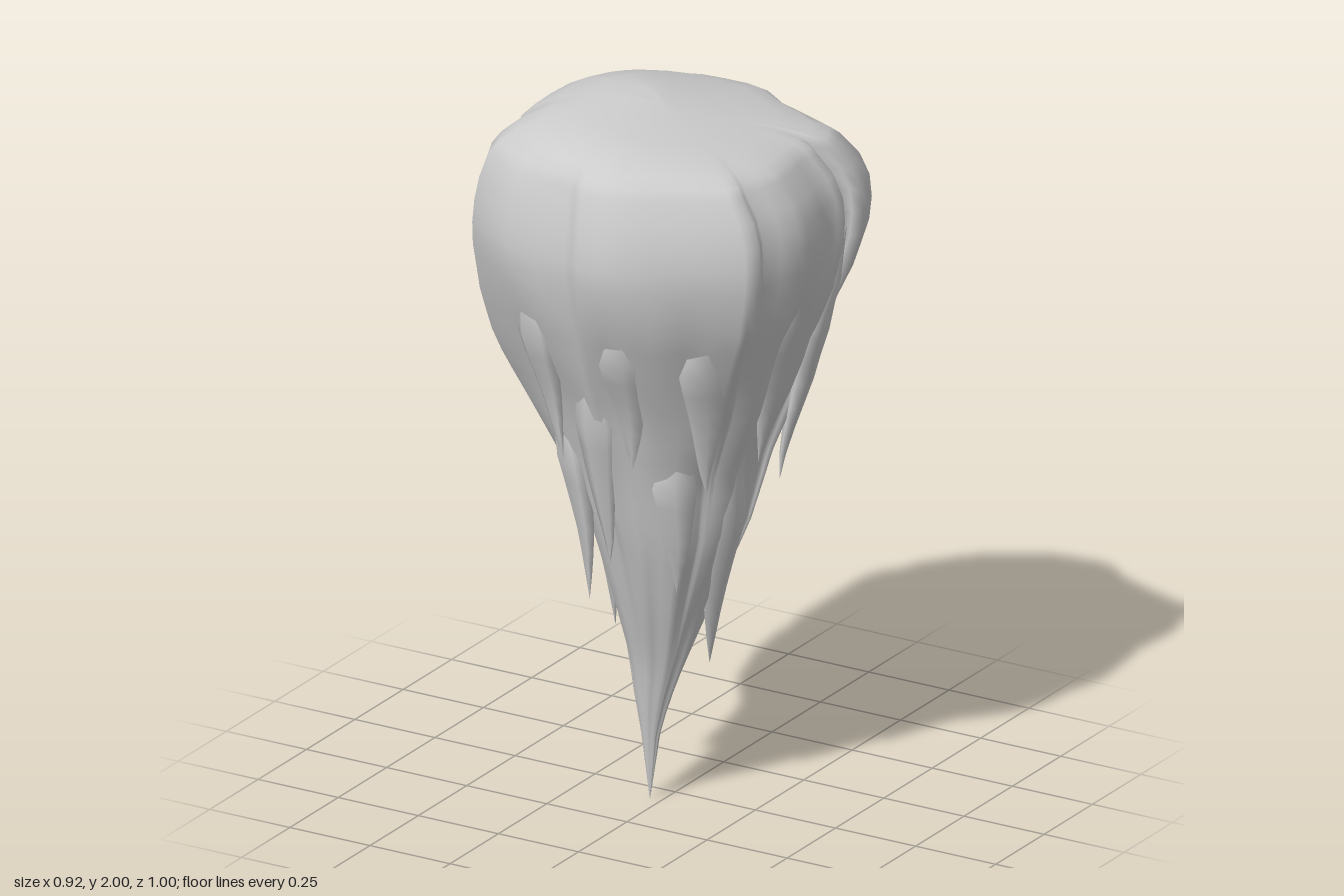
import * as THREE from 'three';

// y, xMin, xMax, zMin, zMax of the tapering rock, from shoulder to tip
const LEVELS = [
  [1.87, -0.43, 0.385, -0.425, 0.455], [1.78, -0.46, 0.445, -0.495, 0.49], [1.65, -0.465, 0.46, -0.50, 0.51],
  [1.5, -0.44, 0.435, -0.445, 0.485], [1.35, -0.405, 0.38, -0.39, 0.435], [1.2, -0.35, 0.33, -0.345, 0.375],
  [1.0, -0.265, 0.25, -0.27, 0.315], [0.8, -0.19, 0.21, -0.17, 0.26], [0.6, -0.132, 0.14, -0.07, 0.20],
  [0.4, -0.088, 0.07, 0.02, 0.135], [0.34, -0.082, 0.045, 0.03, 0.125], [0.2, -0.058, -0.002, 0.052, 0.10],
  [0, -0.034, -0.033, 0.075, 0.076],
];

// plan outline at the widest level, clockwise from the back
const OUTLINE = [
  [0.03, -0.51], [0.08, -0.5], [0.17, -0.43], [0.41, -0.35], [0.45, -0.24], [0.40, -0.2], [0.44, -0.16],
  [0.43, -0.1], [0.45, 0], [0.46, 0.11], [0.42, 0.23], [0.43, 0.27], [0.41, 0.31], [0.28, 0.40],
  [0.12, 0.495], [0, 0.505], [-0.06, 0.47], [-0.25, 0.455], [-0.41, 0.365], [-0.45, 0.27], [-0.43, 0.16],
  [-0.46, 0.11], [-0.46, -0.13], [-0.42, -0.17], [-0.40, -0.24], [-0.33, -0.34], [-0.14, -0.48],
];

// two columns per outline point, in unit coordinates
const UNIT = OUTLINE.flatMap(([x, z], i) => {
  const [x2, z2] = OUTLINE[(i + 1) % OUTLINE.length];
  return [[x / 0.46, z / 0.507], [(x + x2) / 0.92, (z + z2) / 1.014]];
});

// hanging shards: angle from the front (degrees), top height, tip x, y, z, half width
const SHARDS = [
  [-14, 1.45, -0.04, 0.74, 0.27, 0.07], [18, 1.6, 0.06, 1.05, 0.32, 0.08], [-28, 1.65, -0.15, 1.04, 0.33, 0.07],
  [-38, 1.3, -0.14, 0.6, 0.21, 0.07], [-62, 1.7, -0.26, 1.02, 0.13, 0.08], [-82, 1.25, -0.15, 0.47, 0.06, 0.07],
  [-105, 1.65, -0.26, 0.95, -0.08, 0.08], [-140, 1.65, -0.19, 0.95, -0.2, 0.08], [-118, 1.15, -0.11, 0.58, -0.03, 0.07],
  [48, 1.6, 0.23, 0.98, 0.22, 0.08], [90, 1.68, 0.26, 1.0, 0, 0.08], [78, 1.2, 0.095, 0.385, -0.02, 0.07],
  [118, 1.65, 0.24, 0.9, -0.14, 0.08], [160, 1.5, 0.1, 0.74, -0.23, 0.08], [180, 1.15, -0.03, 0.32, -0.05, 0.07],
  [-165, 1.6, -0.06, 0.88, -0.25, 0.08], [35, 1.2, 0.12, 0.66, 0.19, 0.07], [138, 1.1, 0.08, 0.55, -0.08, 0.06],
];

const material = new THREE.MeshStandardMaterial({ color: 0xcccccc, roughness: 0.9 });
const { lerp, clamp, smoothstep, degToRad } = THREE.MathUtils;

// centre and half sizes at height y
function section(y) {
  let i = 0;
  while (i < LEVELS.length - 2 && y < LEVELS[i + 1][0]) i++;
  const a = LEVELS[i], b = LEVELS[i + 1];
  const t = clamp((a[0] - y) / (a[0] - b[0]), 0, 1);
  const [x0, x1, z0, z1] = [1, 2, 3, 4].map(k => lerp(a[k], b[k], t));
  return { cx: (x0 + x1) / 2, cz: (z0 + z1) / 2, hx: (x1 - x0) / 2, hz: (z1 - z0) / 2 };
}

// point of the fluted side in outline direction u, v at height y
function sidePoint([u, v], y) {
  const q = section(y), a = Math.atan2(u, v);
  const flute = 0.07 * smoothstep(1.7 - y, 0, 0.5);
  const round = smoothstep(1.45 - y, 0, 1.1);
  const wave = 0.6 * Math.sin(9 * a + 2.5 * y) + 0.4 * Math.sin(14 * a - 4 * y + 1);
  const k = lerp(1, 1 / Math.hypot(u, v), round) * (1 + flute * (wave - 0.6));
  return [q.cx + q.hx * u * k, y, q.cz + q.hz * v * k];
}

// skin closed rings, listed from top to bottom
function loft(name, rings) {
  const n = rings[0].length, index = [];
  for (let j = 0; j < rings.length - 1; j++) {
    for (let i = 0; i < n; i++) {
      const a = j * n + i, b = j * n + (i + 1) % n;
      if (j > 0) index.push(a, b, a + n);
      index.push(b, b + n, a + n);
    }
  }
  const geometry = new THREE.BufferGeometry();
  geometry.setAttribute('position', new THREE.Float32BufferAttribute(rings.flat(2), 3));
  geometry.setIndex(index);
  geometry.computeVertexNormals();
  const mesh = new THREE.Mesh(geometry, material);
  mesh.name = name;
  return mesh;
}

function createBody() {
  const rings = [], c = section(1.87);
  // domed cap, highest left of the middle and sinking to the right
  for (const [s, y] of [[0, 1.965], [0.25, 1.965], [0.5, 1.957], [0.72, 1.945], [0.88, 1.92], [0.96, 1.895]]) {
    rings.push(UNIT.map(([u, v]) => {
      const k = s * lerp(1 / Math.hypot(u, v), 1, s ** 4);
      const x = c.cx + c.hx * u * k, z = c.cz + c.hz * v * k;
      const peak = 0.028 * Math.exp(-((x + 0.14) ** 2 + (z + 0.05) ** 2) / 0.03);
      const tilt = (0.05 * z - 0.09 * x) * (1 - s ** 4);
      return [x, Math.min(2, y + tilt + peak), z];
    }));
  }
  // fluted sides narrowing to the tip
  const steps = 30;
  for (let j = 0; j <= steps; j++) {
    rings.push(UNIT.map(d => sidePoint(d, 1.87 * (1 - j / steps))));
  }
  return loft('rockBody', rings);
}

// slender wedge that emerges from the body and narrows to a point
function createShard([degrees, top, tx, ty, tz, width]) {
  const angle = degToRad(degrees), s = Math.sin(angle), c = Math.cos(angle);
  const facing = ([u, v]) => (u * s + v * c) / Math.hypot(u, v);
  const direction = UNIT.reduce((best, d) => (facing(d) > facing(best) ? d : best));
  const end = sidePoint(direction, ty), rings = [], steps = 10, sides = 6;
  for (let j = 0; j <= steps; j++) {
    const t = j / steps, y = lerp(top, ty, t), p = sidePoint(direction, y);
    const inset = 0.05 * (1 - t);
    const x = p[0] - s * inset + (tx - end[0]) * t * t;
    const z = p[2] - c * inset + (tz - end[2]) * t * t;
    const taper = t < 0.4 ? lerp(0.15, 1, t / 0.4) : Math.pow((1 - t) / 0.6, 0.9);
    const ring = [];
    for (let i = 0; i < sides; i++) {
      const b = i / sides * Math.PI * 2;
      const side = -Math.sin(b) * width * taper, out = Math.cos(b) * 0.045 * taper;
      ring.push([x + c * side + s * out, y, z - s * side + c * out]);
    }
    rings.push(ring);
  }
  return loft('hangingShard', rings);
}

export function createModel() {
  const model = new THREE.Group();
  model.name = 'stalactite';
  model.add(createBody());
  for (const shard of SHARDS) model.add(createShard(shard));
  return model;
}
